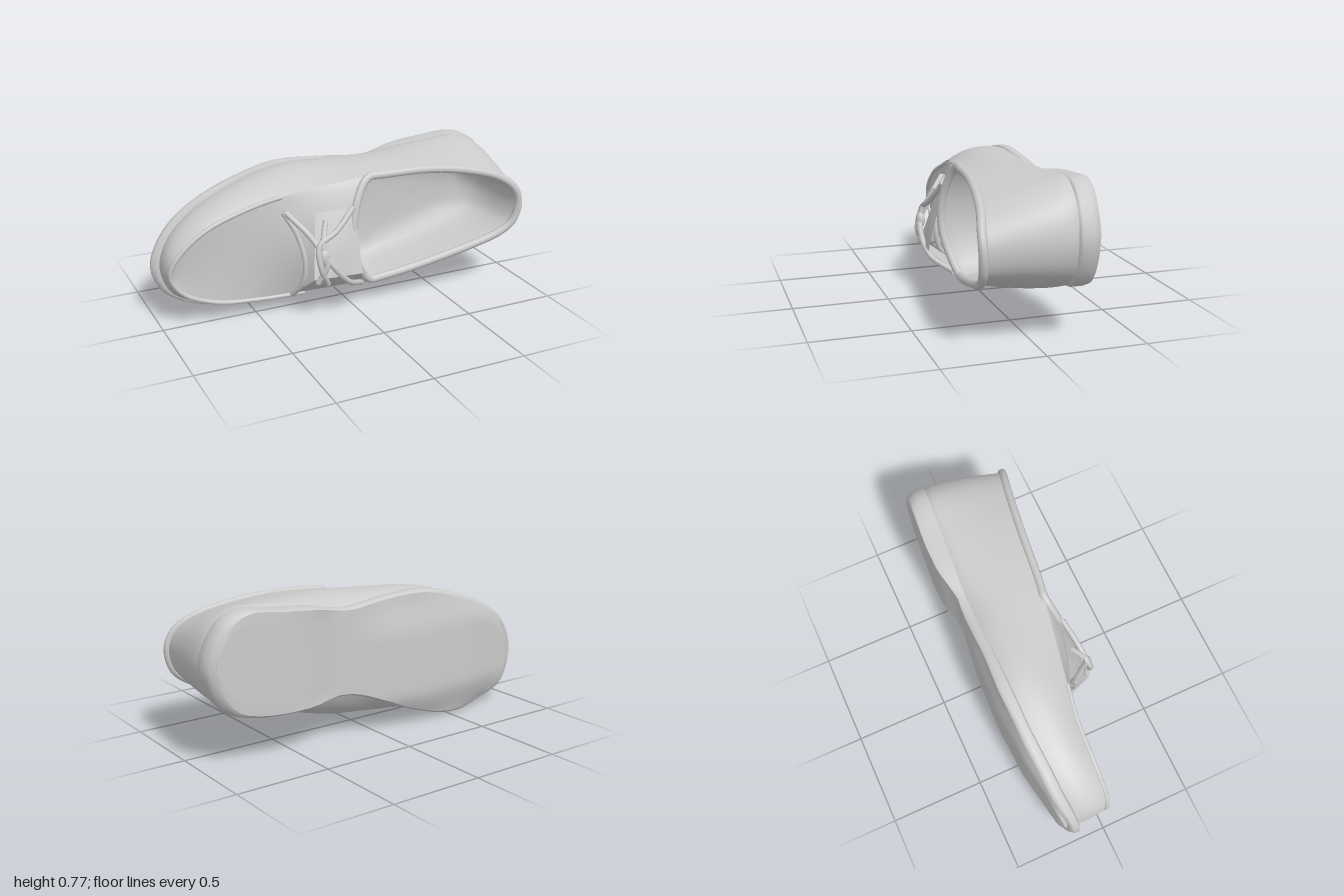
import * as THREE from 'three';

const N = 88; // samples per loop, four for each control point
const V = (x, y, z) => new THREE.Vector3(x, y, z);
const material = new THREE.MeshStandardMaterial({ color: 0xcccccc, side: THREE.DoubleSide });
const smooth = THREE.MathUtils.smoothstep;

// piecewise-linear lookup
const lookup = (table, x) => {
  for (let i = 1; i < table.length; i++) {
    const [x0, y0] = table[i - 1], [x1, y1] = table[i];
    if (x <= x1) return y0 + (y1 - y0) * Math.max(0, (x - x0) / (x1 - x0));
  }
  return table[table.length - 1][1];
};

// smooth closed loop through the control points (toe, one side, heel, other side)
const loop = (pts) => {
  const curve = new THREE.CatmullRomCurve3(pts.map(([x, y, z = 0]) => V(x, y, z)), true);
  return Array.from({ length: N }, (_, i) => curve.getPoint(i / N));
};

// surface through equal-length rows of points
function skin(rows, closed, flip = false) {
  const n = rows[0].length, idx = [];
  for (let j = 0; j < rows.length - 1; j++) {
    for (let i = 0; i < (closed ? n : n - 1); i++) {
      const a = j * n + i, b = j * n + (i + 1) % n, c = b + n, d = a + n;
      if (flip) idx.push(a, b, c, a, c, d);
      else idx.push(a, c, b, a, d, c);
    }
  }
  const g = new THREE.BufferGeometry();
  g.setAttribute('position', new THREE.Float32BufferAttribute(rows.flat().flatMap((p) => [p.x, p.y, p.z]), 3));
  g.setIndex(idx);
  g.computeVertexNormals();
  return g;
}

// rows running across a loop between opposite samples
const across = (pts, to, steps, shape) => {
  const rows = [];
  for (let i = 0; i <= to; i++) {
    const a = pts[i], b = pts[(pts.length - i) % pts.length];
    rows.push(Array.from({ length: steps + 1 }, (_, k) => shape(a.clone().lerp(b, k / steps), k / steps)));
  }
  return rows;
};

const scaled = (pts, s, zOf) => pts.map((p) => {
  const x = 0.02 + (p.x - 0.02) * s, c = lookup([[-1, 0.29], [-0.3, 0.41], [0.2, 0.46], [1, 0.51]], p.x);
  return V(x, c + (p.y - c) * s, zOf(p));
});

const tubeThrough = (pts, r, seg = 32, closed = false) =>
  new THREE.TubeGeometry(new THREE.CatmullRomCurve3(pts, closed), seg, r, 8, closed);

export function createModel() {
  const shoe = new THREE.Group();
  shoe.name = 'shoe';
  const add = (name, geometry) => {
    const m = new THREE.Mesh(geometry, material);
    m.name = name;
    shoe.add(m);
    return m;
  };

  // sole outline with a waist and its heights along the length
  const outline = loop([
    [-1, 0.28], [-0.94, 0.43], [-0.78, 0.57], [-0.52, 0.68], [-0.28, 0.735], [-0.02, 0.725], [0.22, 0.7],
    [0.42, 0.735], [0.62, 0.755], [0.82, 0.765], [0.92, 0.7], [0.995, 0.53], [0.96, 0.38], [0.88, 0.28],
    [0.75, 0.24], [0.48, 0.23], [0.2, 0.245], [0, 0.18], [-0.22, 0.085], [-0.5, 0.005], [-0.72, 0.02], [-0.93, 0.12]]);
  // the forefoot curls up towards its edges
  const under = (p) => lookup([[-1, -0.2], [-0.9, -0.235], [-0.6, -0.288], [-0.3, -0.303], [0, -0.288],
    [0.28, -0.255], [0.45, -0.292], [0.6, -0.295], [1, -0.268]], p.x)
    + smooth(-p.x, -0.25, 0.1) * smooth(p.x, -1, -0.75)
    * (0.055 * (1 - smooth(p.y, 0, 0.2)) + 0.03 * smooth(p.y, 0.5, 0.72));
  const welt = (p) => lookup([[-1, -0.145], [-0.85, -0.175], [-0.5, -0.205], [0.1, -0.21], [0.3, -0.205],
    [0.5, -0.19], [1, -0.15]], p.x) + 0.04 * smooth(-p.x, -0.1, 0.3) * (1 - smooth(p.y, 0, 0.2)) * smooth(p.x, -1, -0.7);
  const mix = (t) => (p) => under(p) + (welt(p) - under(p)) * t;
  const bottom = scaled(outline, 0.955, under);
  add('soleEdge', skin([bottom, scaled(outline, 0.985, mix(0.1)), scaled(outline, 1, mix(0.4)),
    scaled(outline, 1, mix(0.85)), scaled(outline, 0.975, welt), scaled(outline, 0.9, welt)], true));
  add('soleBottom', skin(across(bottom, N / 2, 14, (p, v) => {
    if (v > 0 && v < 1) p.z = under(p);
    return p;
  }), false, true));

  // upper wall, from the welt through the bulging side to the ridge
  const side = loop([
    [-0.965, 0.28], [-0.93, 0.42], [-0.78, 0.555], [-0.53, 0.665], [-0.28, 0.73], [0, 0.745], [0.2, 0.75],
    [0.42, 0.757], [0.62, 0.76], [0.82, 0.745], [0.935, 0.66], [0.98, 0.52], [0.955, 0.39], [0.88, 0.3],
    [0.76, 0.24], [0.48, 0.17], [0.2, 0.1], [0, 0.075], [-0.25, 0.06], [-0.5, 0.055], [-0.72, 0.07], [-0.91, 0.15]]);
  const ridge = loop([
    [-0.95, 0.29, 0.02], [-0.92, 0.38, 0.03], [-0.78, 0.5, 0.03], [-0.55, 0.59, 0.035], [-0.3, 0.655, 0.075],
    [-0.02, 0.7, 0.125], [0.2, 0.715, 0.16], [0.42, 0.715, 0.185], [0.62, 0.69, 0.215], [0.8, 0.64, 0.25],
    [0.89, 0.575, 0.274], [0.925, 0.49, 0.278], [0.9, 0.38, 0.27], [0.83, 0.32, 0.255], [0.72, 0.275, 0.235],
    [0.48, 0.205, 0.195], [0.22, 0.145, 0.155], [0, 0.115, 0.12], [-0.25, 0.095, 0.07], [-0.5, 0.085, 0.03],
    [-0.72, 0.11, 0.02], [-0.89, 0.19, 0.02]]);
  const base = scaled(outline, 0.955, (p) => welt(p) - 0.02);
  side.forEach((p) => { p.z = -0.08; });
  const wall = [base];
  for (let k = 1; k <= 8; k++) {
    const t = k / 8;
    wall.push(base.map((b, i) => b.clone().multiplyScalar((1 - t) ** 2)
      .addScaledVector(side[i].clone().multiplyScalar(2).addScaledVector(b, -0.5).addScaledVector(ridge[i], -0.5), 2 * t * (1 - t))
      .addScaledVector(ridge[i], t * t)));
  }
  add('upperWall', skin(wall, true));

  // vamp, domed towards the instep, with a scoop at the opening
  const rows = across(ridge, 22, 28, (p, v) => {
    const rise = smooth(p.x, -0.75, 0), s = Math.max(0, Math.sin(Math.PI * v));
    p.z += (0.06 * rise - 0.008 * (1 - rise)) * s;
    p.x -= 0.13 * smooth(p.x, -0.5, 0.1) * s ** 0.6;
    return p;
  });
  add('vamp', skin(rows, false, true));
  add('toeSeam', tubeThrough([...ridge.slice(72), ...ridge.slice(0, 16)], 0.012, 80));

  // collar, lining and rounded footbed
  const opening = [...ridge.slice(22, 67), ...rows[22].slice(1, -1).reverse()];
  add('collar', tubeThrough(opening, 0.022, 140, true));
  const inner = ([s, t]) => opening.map((p) => V(0.45 + (p.x - 0.45) * s, 0.44 + (p.y - 0.44) * s, p.z * (1 - t) - 0.13 * t));
  add('lining', skin([[1, 0], [0.96, 0.2], [0.94, 0.45], [0.9, 0.7], [0.82, 0.88], [0.68, 0.97], [0.4, 1], [0, 1]].map(inner), true, true));

  // tongue and side flap, as bulged four-corner patches
  const patch = (name, [a, b, c, d], bulge) => {
    const grid = [];
    for (let j = 0; j <= 8; j++) {
      const l = a.clone().lerp(d, j / 8), r = b.clone().lerp(c, j / 8);
      grid.push(Array.from({ length: 9 }, (_, i) => {
        const p = l.clone().lerp(r, i / 8);
        p.z += bulge * Math.sin(Math.PI * i / 8) * Math.sin(Math.PI * j / 8);
        return p;
      }));
    }
    add(name, skin(grid, false, true));
  };
  patch('sideFlap', [V(-0.31, 0.095, 0.06), V(0.05, 0.125, 0.13), V(-0.01, 0.24, 0.275), V(-0.27, 0.24, 0.25)], 0.02);
  patch('tongue', [V(-0.27, 0.24, 0.25), V(-0.01, 0.24, 0.275), V(-0.02, 0.58, 0.19), V(-0.22, 0.56, 0.15)], 0.015);
  add('vampEdge', tubeThrough([V(-0.37, 0.57, 0.09), V(-0.31, 0.45, 0.13), V(-0.28, 0.3, 0.16), V(-0.29, 0.18, 0.14), V(-0.32, 0.095, 0.07)], 0.014));

  // crossed laces with a small knot
  [
    [V(-0.36, 0.57, 0.1), V(-0.27, 0.46, 0.2), V(-0.2, 0.34, 0.27), V(-0.08, 0.2, 0.25), V(0.04, 0.13, 0.15)],
    [V(-0.03, 0.58, 0.2), V(-0.14, 0.48, 0.235), V(-0.24, 0.42, 0.25), V(-0.24, 0.3, 0.275), V(-0.19, 0.2, 0.24)],
    [V(-0.18, 0.53, 0.19), V(-0.22, 0.42, 0.25), V(-0.21, 0.32, 0.275), V(-0.25, 0.22, 0.25)],
  ].forEach((pts) => add('lace', tubeThrough(pts, 0.015)));
  const knot = add('knot', new THREE.SphereGeometry(0.035, 16, 12));
  knot.position.set(-0.22, 0.36, 0.262);
  knot.scale.set(0.8, 1.3, 0.7);

  return shoe;
}
